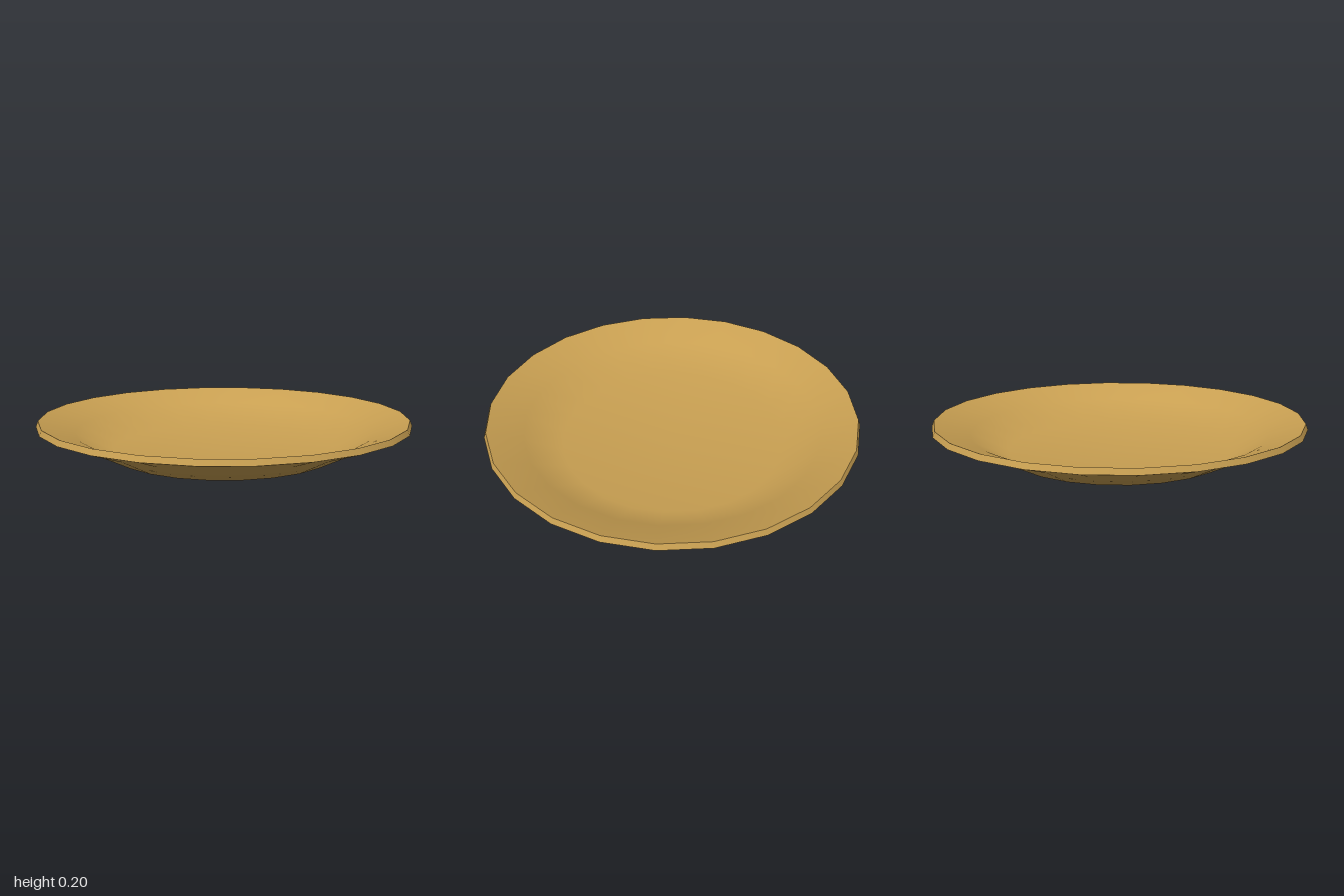
import * as THREE from 'three';

const SIDES = 24;

export function createModel() {
  const dish = new THREE.Group();
  dish.name = 'dish';
  const material = new THREE.MeshStandardMaterial({ color: 0xc9a052 });

  // Each surface is smooth in itself; separate lathes keep the rim edges sharp
  function addLathe(name, profile) {
    const points = profile.map(([r, y]) => new THREE.Vector2(r, y));
    const mesh = new THREE.Mesh(new THREE.LatheGeometry(points, SIDES), material);
    mesh.name = name;
    dish.add(mesh);
  }

  // Flat foot and flared outer wall
  addLathe('underside', [[0, 0], [0.6, 0], [0.8, 0.1], [1, 0.17]]);

  // Narrow band around the edge, leaning slightly inwards
  addLathe('rim', [[1, 0.17], [0.988, 0.2]]);

  // Inner wall and floor, following the underside at a constant thickness
  addLathe('bowlInterior', [[0.988, 0.2], [0.8, 0.13], [0.6, 0.03], [0, 0.03]]);

  return dish;
}
